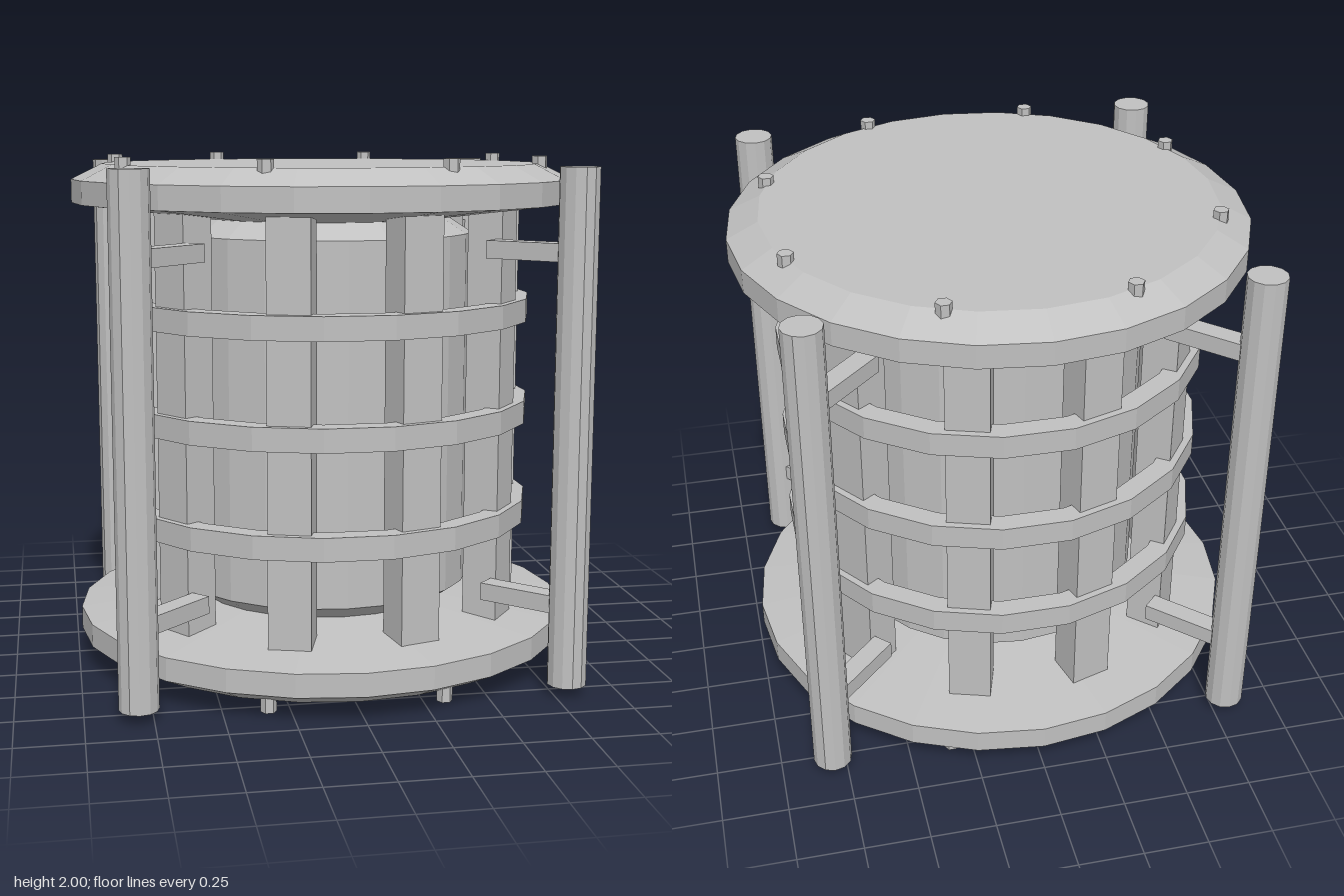
import * as THREE from 'three';

const steel = new THREE.MeshStandardMaterial({ color: 0xc0c0c0, flatShading: true });
steel.name = 'steel grey';

export function createModel() {
  const model = new THREE.Group();
  model.name = 'cagedDrum';

  const add = (name, geometry, x = 0, y = 0, z = 0) => {
    const mesh = new THREE.Mesh(geometry, steel);
    mesh.name = name;
    mesh.position.set(x, y, z);
    model.add(mesh);
    return mesh;
  };
  const lathe = (profile, sides, start = 0) =>
    new THREE.LatheGeometry(profile.map(([r, y]) => new THREE.Vector2(r, y)), sides, start);
  // Box reaching from one radius to another, turned about the y axis
  const radialBox = (name, inner, outer, height, width, y, angle) => {
    const r = (inner + outer) / 2;
    const box = add(name, new THREE.BoxGeometry(outer - inner, height, width),
      r * Math.cos(angle), y, r * Math.sin(angle));
    box.rotation.y = -angle;
  };

  // Bevelled end plates, mirrored about mid height
  const plate = [[0, 0.04], [0.865, 0.04], [0.985, 0.1], [0.985, 0.19], [0.5, 0.25], [0, 0.25]];
  add('bottomPlate', lathe(plate, 24));
  add('topPlate', lathe(plate.map(([r, y]) => [r, 2.01 - y]).reverse(), 24));

  // Inner drum with chamfered ends
  add('drum', lathe([[0, 0.245], [0.5, 0.245], [0.6, 0.31], [0.6, 1.7], [0.5, 1.765], [0, 1.765]], 24));

  // Upright slats around the drum
  for (let i = 0; i < 10; i++) {
    radialBox('slat', 0.66, 0.797, 1.6, 0.162, 1.005, i * Math.PI / 5);
  }

  // Hoops around the slats
  const hoop = [[0.75, -0.045], [0.834, -0.045], [0.834, 0.045], [0.75, 0.045], [0.75, -0.045]];
  for (const y of [0.604, 1.005, 1.407]) add('hoop', lathe(hoop, 20, Math.PI / 20), 0, y, 0);

  // Corner posts with an upper and lower arm
  for (let i = 0; i < 4; i++) {
    const angle = Math.PI / 4 + i * Math.PI / 2;
    add('post', new THREE.CylinderGeometry(0.074, 0.074, 1.93, 12),
      1.135 * Math.cos(angle), 1.005, 1.135 * Math.sin(angle));
    for (const y of [0.347, 1.662]) radialBox('arm', 0.78, 1.13, 0.067, 0.08, y, angle);
  }

  // Hexagonal bolts on both plates
  for (let i = 0; i < 8; i++) {
    const angle = Math.PI / 8 + i * Math.PI / 4;
    for (const y of [0.04, 1.97]) {
      const bolt = add('bolt', new THREE.CylinderGeometry(0.03, 0.03, 0.08, 6),
        0.865 * Math.cos(angle), y < 1 ? 0.04 : 1.97, 0.865 * Math.sin(angle));
      bolt.position.y = y < 1 ? 0.04 : 1.96;
      bolt.rotation.y = Math.PI / 6;
    }
  }

  return model;
}
